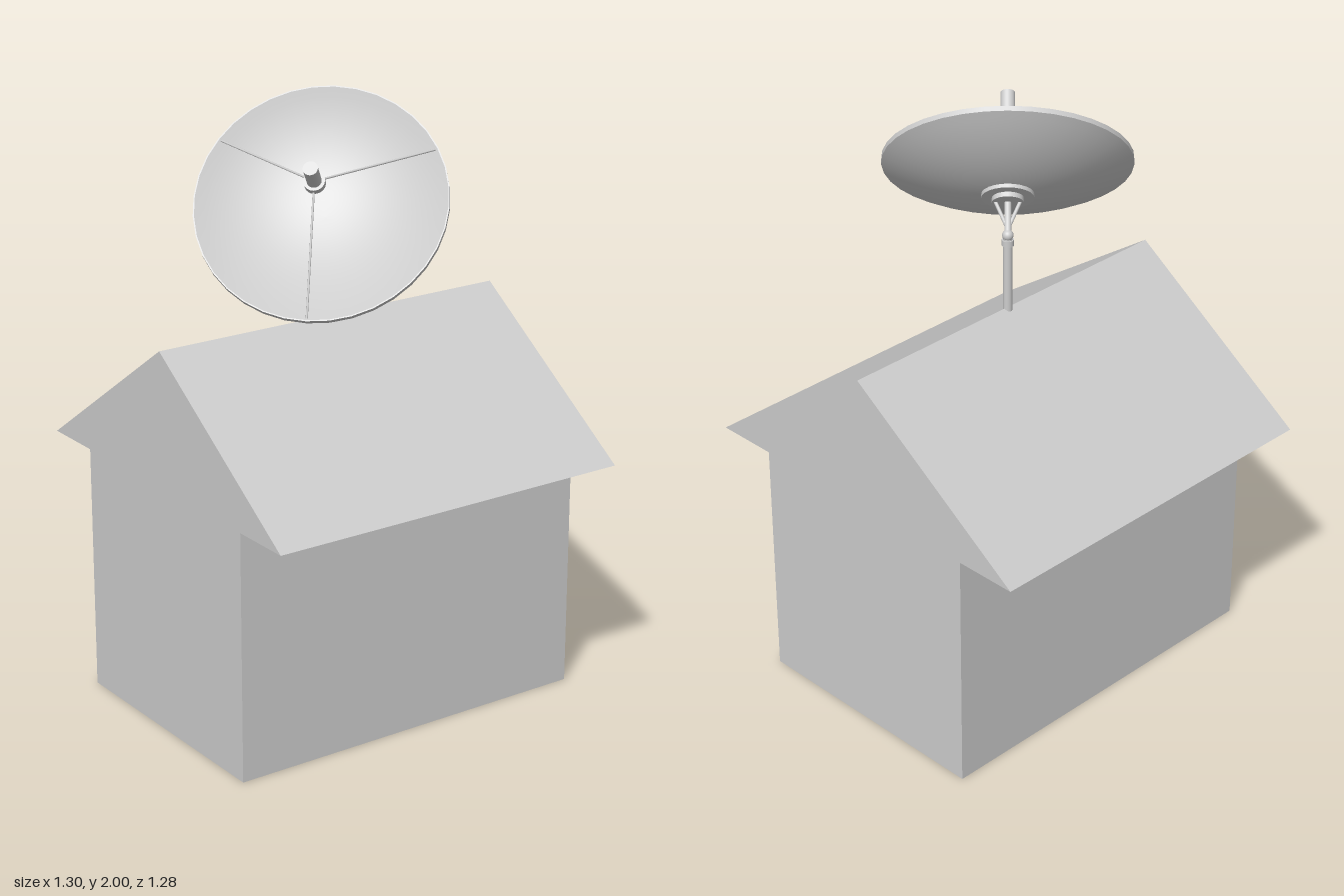
import * as THREE from 'three';

const shell = new THREE.MeshStandardMaterial({ color: 0xcccccc });
shell.name = 'light grey';

function add(parent, name, geometry, x = 0, y = 0, z = 0) {
  const mesh = new THREE.Mesh(geometry, shell);
  mesh.name = name;
  mesh.position.set(x, y, z);
  parent.add(mesh);
  return mesh;
}

// Cylinder from y0 to y1 on the parent's vertical axis
function post(parent, name, y0, y1, r, rTop = r) {
  return add(parent, name, new THREE.CylinderGeometry(rTop, r, y1 - y0, 24), 0, (y0 + y1) / 2, 0);
}

// Thin rod between two points
function rod(parent, name, a, b, r) {
  const d = b.clone().sub(a);
  const mesh = add(parent, name, new THREE.CylinderGeometry(r, r, d.length(), 8));
  mesh.position.copy(a).add(b).multiplyScalar(0.5);
  mesh.quaternion.setFromUnitVectors(new THREE.Vector3(0, 1, 0), d.normalize());
}

export function createModel() {
  const model = new THREE.Group();
  model.name = 'houseWithDish';

  // House: gable outline with overhanging eaves, pushed through its depth
  const wall = 0.437, eave = 0.65, eaveY = 0.825, ridge = 1.275, depth = 1.28;
  const outline = new THREE.Shape([
    [-wall, 0], [wall, 0], [wall, eaveY], [eave, eaveY],
    [0, ridge], [-eave, eaveY], [-wall, eaveY],
  ].map(([x, y]) => new THREE.Vector2(x, y)));
  add(model, 'house', new THREE.ExtrudeGeometry(outline, { depth, bevelEnabled: false }), 0, 0, -depth / 2);

  // Mast on the ridge with a collar and a swivel ball
  post(model, 'mast', 1.26, 1.53, 0.0145);
  post(model, 'mastCollar', 1.495, 1.515, 0.019);
  add(model, 'swivel', new THREE.SphereGeometry(0.018, 20, 14), 0, 1.53, 0);

  // Dish group: local y is the dish axis, the origin is the rim centre
  const dish = new THREE.Group();
  dish.name = 'dish';
  dish.position.set(0.135, 1.696, 0.135);
  dish.rotation.set(THREE.MathUtils.degToRad(50), Math.PI / 4, 0, 'YXZ');
  model.add(dish);

  // Curved back, rim lip and inner bowl
  const R = 0.396, lip = 0.016, steps = 14;
  const back = [], bowl = [];
  for (let i = 0; i <= steps; i++) {
    const t = i / steps;
    back.push(new THREE.Vector2(R * t, -0.122 + (0.122 - lip) * t * t));
    bowl.unshift(new THREE.Vector2((R - 0.004) * t, -0.114 * (1 - t * t)));
  }
  add(dish, 'dishBack', new THREE.LatheGeometry(back, 36));
  add(dish, 'dishBowl', new THREE.LatheGeometry(bowl, 36));
  const edge = [[R, -lip], [R, 0]].map(([x, y]) => new THREE.Vector2(x, y));
  add(dish, 'dishRim', new THREE.LatheGeometry(edge, 36));
  const top = add(dish, 'rimTop', new THREE.RingGeometry(R - 0.004, R, 36));
  top.rotation.x = -Math.PI / 2;

  // Stepped mounting plate, arm and fork behind the dish
  post(dish, 'mountPlate', -0.13, -0.115, 0.083);
  post(dish, 'mountHub', -0.146, -0.125, 0.05);
  post(dish, 'mountArm', -0.25, -0.14, 0.011);
  for (const s of [-1, 1]) {
    rod(dish, 'mountFork', new THREE.Vector3(0, -0.235, 0), new THREE.Vector3(s * 0.04, -0.14, 0), 0.006);
  }

  // Feed horn held by three thin struts
  post(dish, 'feedFlange', 0.124, 0.146, 0.033);
  post(dish, 'feedHorn', 0.14, 0.232, 0.023);
  for (let i = 0; i < 3; i++) {
    const a = i * Math.PI * 2 / 3;
    const at = (r, y) => new THREE.Vector3(r * Math.sin(a), y, r * Math.cos(a));
    rod(dish, 'feedStrut', at(0.385, -0.004), at(0.02, 0.135), 0.0035);
  }
  return model;
}
